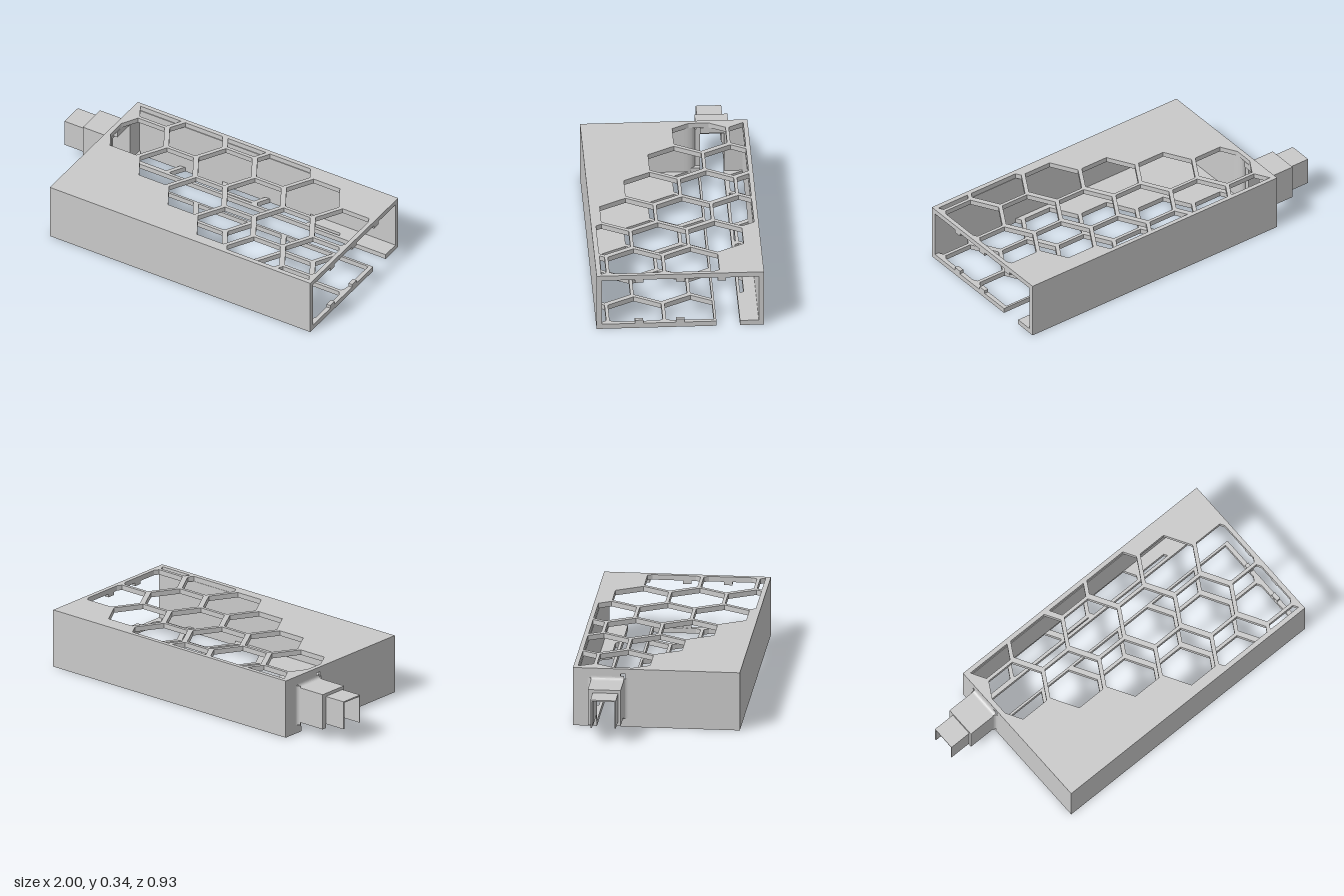
import * as THREE from 'three';

const grey = new THREE.MeshStandardMaterial({ color: 0xcacaca });
grey.name = 'plainGrey';

const X0 = -0.69, X1 = 1, Z = 0.463, H = 0.335, T = 0.029;

// Keep the part of a polygon where sign * p[axis] <= sign * limit
function clip(points, axis, limit, sign) {
  const out = [];
  points.forEach((p, i) => {
    const q = points[(i + 1) % points.length];
    const dp = sign * (p[axis] - limit), dq = sign * (q[axis] - limit);
    if (dp <= 0) out.push(p);
    if (dp * dq < 0) {
      const t = dp / (dp - dq);
      out.push([p[0] + (q[0] - p[0]) * t, p[1] + (q[1] - p[1]) * t]);
    }
  });
  return out;
}

// Honeycomb openings as [x, z] outlines trimmed to a z range
function honeycomb(zMin, zMax) {
  const cells = [];
  for (let col = 0; col < 6; col++) for (let row = 0; row < 3; row++) {
    const cx = -0.525 + col * 0.28, cz = -0.19 + col * 0.149 - row * 0.313;
    let pts = [];
    for (let k = 0; k < 6; k++) {
      const a = k * Math.PI / 3;
      pts.push([cx + 0.17 * Math.cos(a), cz + 0.17 * Math.sin(a)]);
    }
    pts = clip(pts, 0, -0.663, -1);
    pts = clip(pts, 0, 0.975, 1);
    pts = clip(pts, 1, zMin, -1);
    pts = clip(pts, 1, zMax, 1);
    if (pts.length > 2) cells.push(pts);
  }
  return cells;
}

export function createModel() {
  const group = new THREE.Group();
  const add = (name, geometry) => {
    const mesh = new THREE.Mesh(geometry, grey);
    mesh.name = name;
    group.add(mesh);
  };
  const box = (name, x0, x1, y0, y1, z0, z1) => add(name,
    new THREE.BoxGeometry(x1 - x0, y1 - y0, z1 - z0)
      .translate((x0 + x1) / 2, (y0 + y1) / 2, (z0 + z1) / 2));
  const vec = pts => pts.map(([x, z]) => new THREE.Vector2(x, -z));
  // Plate drawn in x, z and raised between two heights
  const plate = (name, shape, y0, y1) => add(name,
    new THREE.ExtrudeGeometry(shape, { depth: y1 - y0, bevelEnabled: false, curveSegments: 8 })
      .rotateX(-Math.PI / 2).translate(0, y0, 0));
  // Outline runs counter-clockwise so the walls of the openings face inward
  const panel = (name, z0, z1, holes, y0, y1) => {
    const shape = new THREE.Shape(vec([[X0, z0], [X0, z1], [X1, z1], [X1, z0]]));
    holes.forEach(h => shape.holes.push(new THREE.Path(vec(h))));
    plate(name, shape, y0, y1);
  };

  // Pierced top, and floor divided by the long slot
  panel('topPanel', -Z, Z, honeycomb(-0.438, 0.436), H - T, H);
  panel('floorPanel', -0.2, Z, honeycomb(-0.187, 0.436), 0, T);
  panel('floorStrip', -Z, -0.33, honeycomb(-0.438, -0.347), 0, T);

  // Long side walls
  box('frontWall', X0, X1, T, H - T, Z - T, Z);
  box('backWall', X0, X1, T, H - T, -Z, -Z + T);

  // End wall around the opening that leads into the spout
  box('endWall', X0, X0 + T, T, H - T, -0.11, Z - T);
  box('endWallBack', X0, X0 + T, T, H - T, -Z + T, -0.332);
  box('endWallHeader', X0, X0 + T, 0.27, H - T, -0.332, -0.2);
  box('endWallSill', X0, X0 + T, T, 0.05, -0.2, -0.15);

  // Rounded inner edge of the opening
  const lip = new THREE.Shape();
  lip.moveTo(X0, 0.11);
  lip.lineTo(X0 + T, 0.11);
  lip.quadraticCurveTo(X0 + T, 0.172, X0, 0.172);
  plate('roundedLip', lip, T, H - T);

  // Stepped spout, open underneath
  box('spoutTop', -0.872, X0, 0.25, 0.27, -0.362, -0.18);
  box('spoutNearSide', -0.872, X0, 0.065, 0.25, -0.2, -0.18);
  box('spoutFarSide', -0.872, X0, 0.065, 0.25, -0.362, -0.332);
  box('tipTop', -1, -0.872, 0.244, 0.252, -0.335, -0.194);
  box('tipNearSide', -1, -0.872, 0.09, 0.244, -0.2, -0.194);
  box('tipFarSide', -1, -0.872, 0.09, 0.244, -0.335, -0.327);

  // Concave flares joining the spout to the end wall
  const flare = (edge, rise) => {
    const f = new THREE.Shape();
    f.moveTo(-0.712, edge);
    f.quadraticCurveTo(X0, edge, X0, edge + rise);
    f.lineTo(X0, edge);
    return f;
  };
  const flareAlongZ = (name, edge, rise, z0, z1) => add(name,
    new THREE.ExtrudeGeometry(flare(edge, rise), { depth: z1 - z0, bevelEnabled: false, curveSegments: 8 })
      .translate(0, 0, z0));
  plate('nearFlare', flare(0.18, -0.024), 0.05, 0.28);
  plate('farFlare', flare(0.362, 0.024), 0.05, 0.28);
  flareAlongZ('topFlare', 0.27, 0.024, -0.362, -0.18);
  flareAlongZ('nearBottomFlare', 0.065, -0.024, -0.2, -0.18);
  flareAlongZ('farBottomFlare', 0.065, -0.024, -0.362, -0.332);

  // Small retaining tabs at the open end
  for (const z of [0.228, 0, -0.23]) {
    box('upperTab', 0.976, X1, H - T - 0.019, H - T, z - 0.023, z + 0.023);
    if (z >= 0) box('lowerTab', 0.976, X1, T, T + 0.019, z - 0.023, z + 0.023);
  }
  return group;
}
